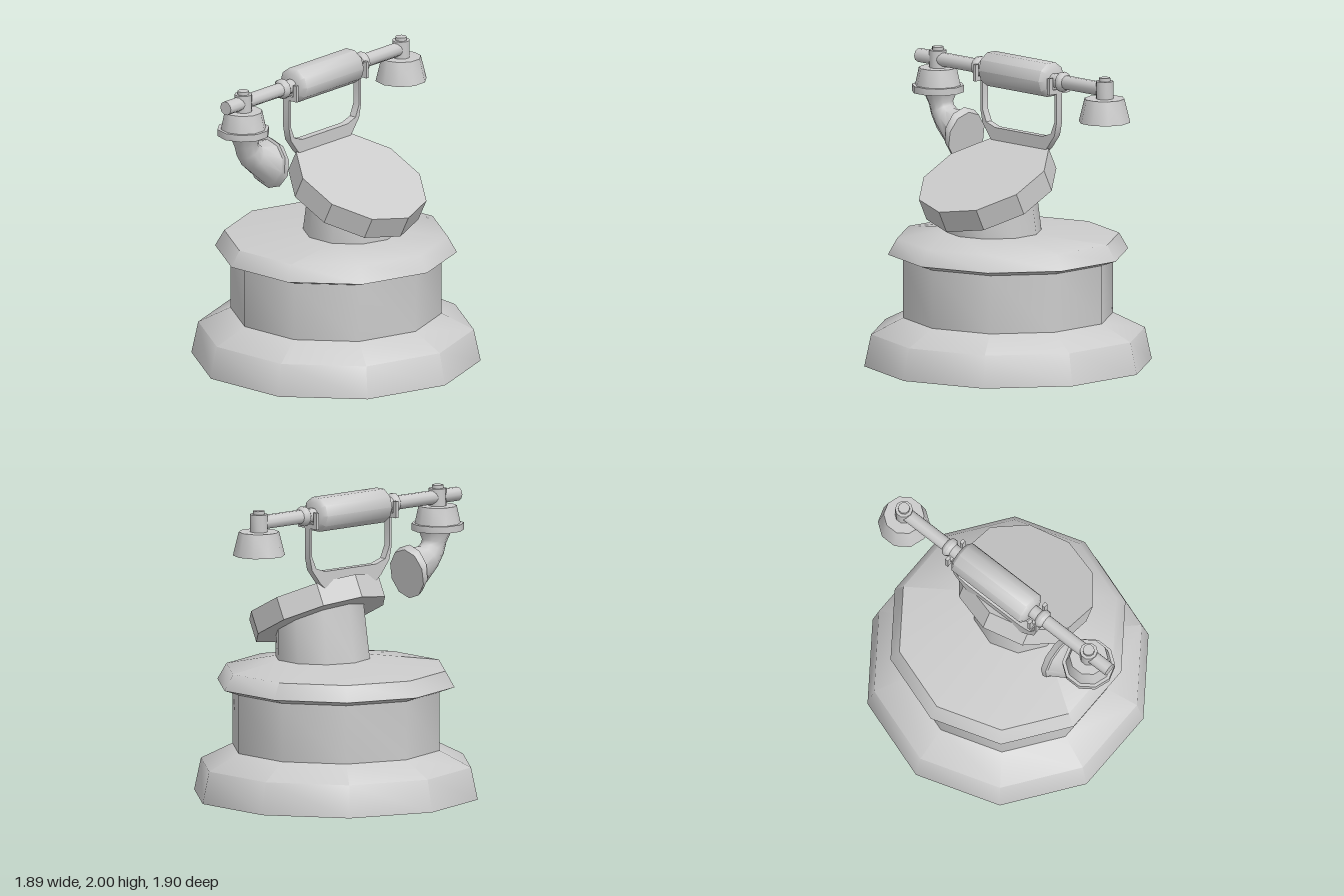
import * as THREE from 'three';
import { toCreasedNormals } from 'three/addons/utils/BufferGeometryUtils.js';

const SIDES = 10;
const AXIS_X = -0.12; // handset axis
const AXIS_Y = 1.893;

export function createModel() {
  const model = new THREE.Group();
  const material = new THREE.MeshStandardMaterial({ color: 0xcccccc });

  const add = (name, geometry, x = 0, y = 0, z = 0, crease = 0.95) => {
    const mesh = new THREE.Mesh(toCreasedNormals(geometry, crease), material);
    mesh.name = name;
    mesh.position.set(x, y, z);
    model.add(mesh);
    return mesh;
  };

  // ten-sided turned solid from [radius, height] pairs, bottom to top
  const turned = (profile, phase = Math.PI / 2) =>
    new THREE.LatheGeometry(profile.map(([r, y]) => new THREE.Vector2(r, y)), SIDES, phase);

  // move vertices by a rule
  const warp = (geometry, rule) => {
    const p = geometry.attributes.position;
    const v = new THREE.Vector3();
    for (let i = 0; i < p.count; i++) {
      rule(v.fromBufferAttribute(p, i));
      p.setXYZ(i, v.x, v.y, v.z);
    }
    return geometry;
  };

  // body, whose top ring is shifted to meet the neck
  add('body', warp(turned([
    [0, 0], [0.945, 0], [0.9, 0.21], [0.69, 0.315], [0.69, 0.7],
    [0.79, 0.735], [0.73, 0.84], [0.315, 0.89], [0, 0.89],
  ]), (v) => { if (v.y > 0.88) v.x += 0.13; }));

  // neck, cut off along the sloping underside of the dial
  add('neck', warp(turned([[0.315, 0.88], [0.3, 1.2]]), (v) => {
    const top = v.y > 1;
    v.x = top ? 0.16 + v.x * 0.95 : 0.13 + v.x;
    if (top) v.y = 1.15 - 0.49 * (v.x - 0.15);
  }));

  // tilted dial
  const dial = new THREE.CylinderGeometry(0.454, 0.454, 0.156, SIDES, 1, false, Math.PI / 2);
  dial.rotateZ(-0.456);
  add('dial', dial, 0.185, 1.205, 0, 0.3);

  // cradle: flat U-shaped frame, outlined on one side and mirrored
  const half = [[0.355, 1.83], [0.355, 1.62], [0.335, 1.53], [0.265, 1.44], [0.22, 1.4]];
  const inner = [[0.22, 1.513], [0.3, 1.54], [0.335, 1.62], [0.335, 1.83]];
  const mirror = (pts) => pts.map(([z, y]) => [-z, y]).reverse();
  const outline = [...half, ...mirror(half), ...mirror(inner), ...inner];
  const frame = new THREE.ExtrudeGeometry(
    new THREE.Shape(outline.map(([z, y]) => new THREE.Vector2(z, y))),
    { depth: 0.05, bevelEnabled: false });
  frame.translate(0, 0, -0.025).rotateY(-Math.PI / 2);
  add('cradleFrame', frame, AXIS_X, 0, 0, 0.5);

  // handset rod and grip, turned along z
  const alongZ = (profile) => turned(profile).rotateX(Math.PI / 2);
  add('handsetRod', alongZ([[0, -0.8], [0.046, -0.8], [0.046, 0.95], [0, 0.95]]), AXIS_X, AXIS_Y);
  add('handsetGrip', alongZ([
    [0, -0.305], [0.085, -0.305], [0.116, -0.28], [0.116, 0.28], [0.085, 0.305], [0, 0.305],
  ]), AXIS_X, AXIS_Y);

  for (const s of [1, -1]) {
    // bead beside the grip
    add('rodBead', alongZ([[0.046, -0.03], [0.066, -0.01], [0.066, 0.01], [0.046, 0.03]]),
      AXIS_X, AXIS_Y, s * 0.39);

    // fork holding the rod
    add('forkBase', new THREE.BoxGeometry(0.18, 0.03, 0.022), AXIS_X, 1.825, s * 0.345);
    for (const side of [1, -1]) {
      add('forkProng', new THREE.BoxGeometry(0.03, 0.11, 0.022),
        AXIS_X + side * 0.075, 1.865, s * 0.345);
    }

    // upright joint at the rod's end
    add('joint', turned([
      [0.058, 1.82], [0.058, 1.95], [0.038, 1.95], [0.038, 1.972], [0, 1.972],
    ], 0), AXIS_X, 0, s * 0.776);
  }

  // earpiece at the back
  add('earpiece', turned([[0, 1.68], [0.17, 1.68], [0.132, 1.835], [0, 1.835]], 0), AXIS_X, 0, -0.776);

  // mouthpiece cap at the front
  add('mouthpieceCap', turned([
    [0, 1.675], [0.172, 1.675], [0.172, 1.72], [0.15, 1.72], [0.125, 1.835], [0, 1.835],
  ], 0), AXIS_X, 0, 0.776);

  // curved horn: each section is given by its outer and inner edge [z, y]
  const sections = [
    [[0.868, 1.68], [0.645, 1.68]],
    [[0.825, 1.59], [0.667, 1.62]],
    [[0.8, 1.515], [0.66, 1.6]],
    [[0.74, 1.43], [0.635, 1.58]],
    [[0.565, 1.29], [0.54, 1.585]],
    [[0.56, 1.275], [0.532, 1.603]],
    [[0.53, 1.25], [0.487, 1.575]],
  ];
  const positions = [];
  const index = [];
  sections.forEach(([[z0, y0], [z1, y1]], k) => {
    const hz = (z1 - z0) / 2;
    const hy = (y1 - y0) / 2;
    const r = Math.hypot(hz, hy);
    for (let i = 0; i < SIDES; i++) {
      const t = Math.PI / 2 + (i / SIDES) * Math.PI * 2;
      positions.push(-r * Math.cos(t), y0 + hy * (1 + Math.sin(t)), z0 + hz * (1 + Math.sin(t)));
      if (k === 0) continue;
      const a = (k - 1) * SIDES + i;
      const b = (k - 1) * SIDES + (i + 1) % SIDES;
      index.push(a, b, b + SIDES, a, b + SIDES, a + SIDES);
    }
  });
  // flat face closing the horn
  const last = (sections.length - 1) * SIDES;
  for (let i = 1; i < SIDES - 1; i++) index.push(last, last + i, last + i + 1);
  const horn = new THREE.BufferGeometry();
  horn.setAttribute('position', new THREE.Float32BufferAttribute(positions, 3));
  horn.setIndex(index);
  add('mouthpieceHorn', horn, AXIS_X);

  return model;
}
